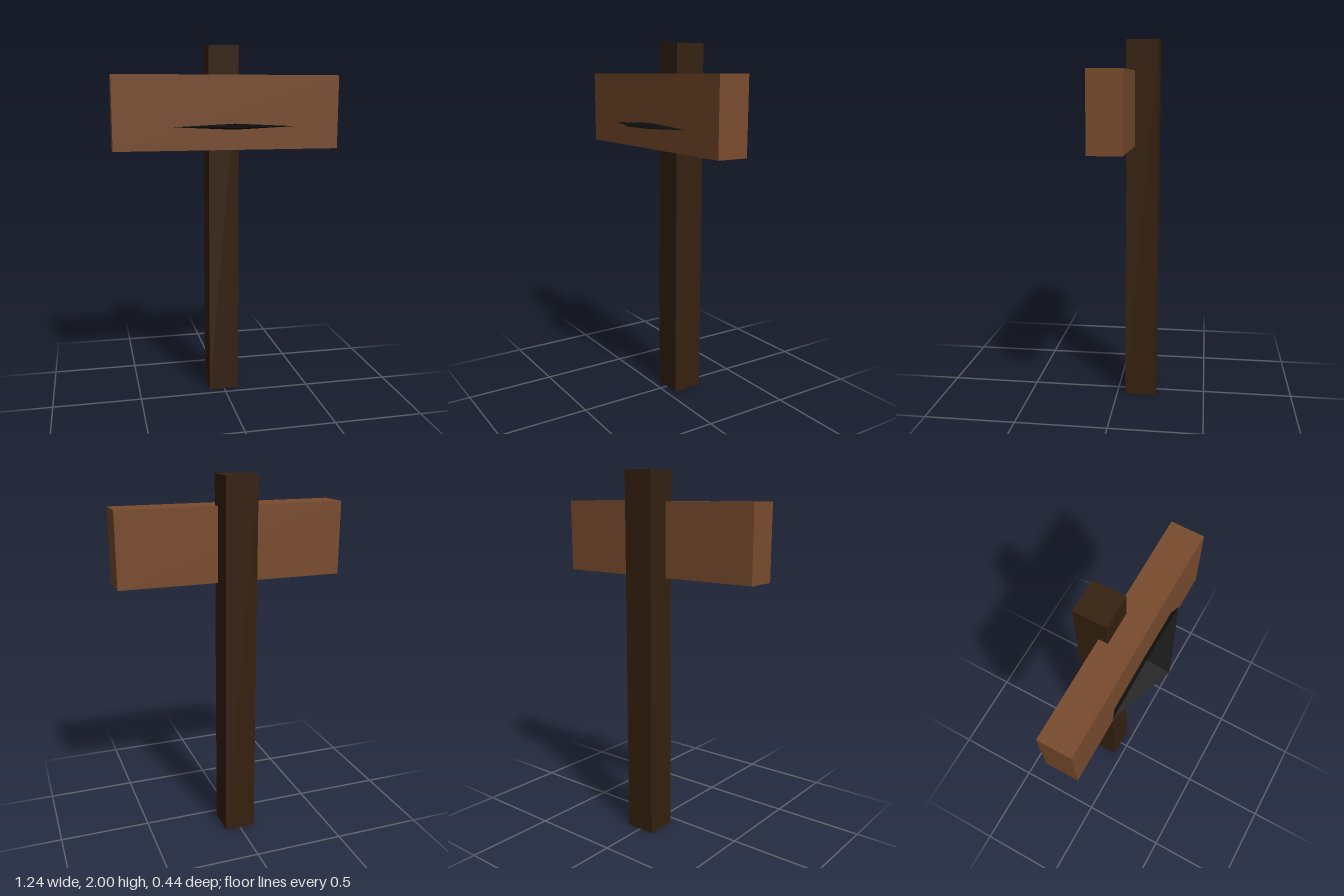
import * as THREE from 'three';

const material = (name, color) => {
  const m = new THREE.MeshStandardMaterial({ color });
  m.name = name;
  return m;
};

export function createModel() {
  const group = new THREE.Group();
  group.name = 'signpost';

  const darkWood = material('dark wood', 0x35210f);
  const boardWood = material('board wood', 0x794b2d);
  const black = material('black', 0x0d0d0d);

  const add = (name, geometry, mat, x, y, z) => {
    const mesh = new THREE.Mesh(geometry, mat);
    mesh.name = name;
    mesh.position.set(x, y, z);
    group.add(mesh);
  };

  // Square upright, standing behind the board
  add('post', new THREE.BoxGeometry(0.172, 2, 0.172), darkWood, 0, 1, -0.135);

  // Wide plank, sunk slightly into the post
  add('board', new THREE.BoxGeometry(1.244, 0.4, 0.174), boardWood, 0, 1.64, -0.01);

  // Thin diamond ledge poking out of the board
  const diamond = new THREE.OctahedronGeometry(1).scale(0.34, 0.016, 0.124);
  diamond.computeVertexNormals();
  add('diamondLedge', diamond, black, 0.03, 1.566, 0.095);

  return group;
}
